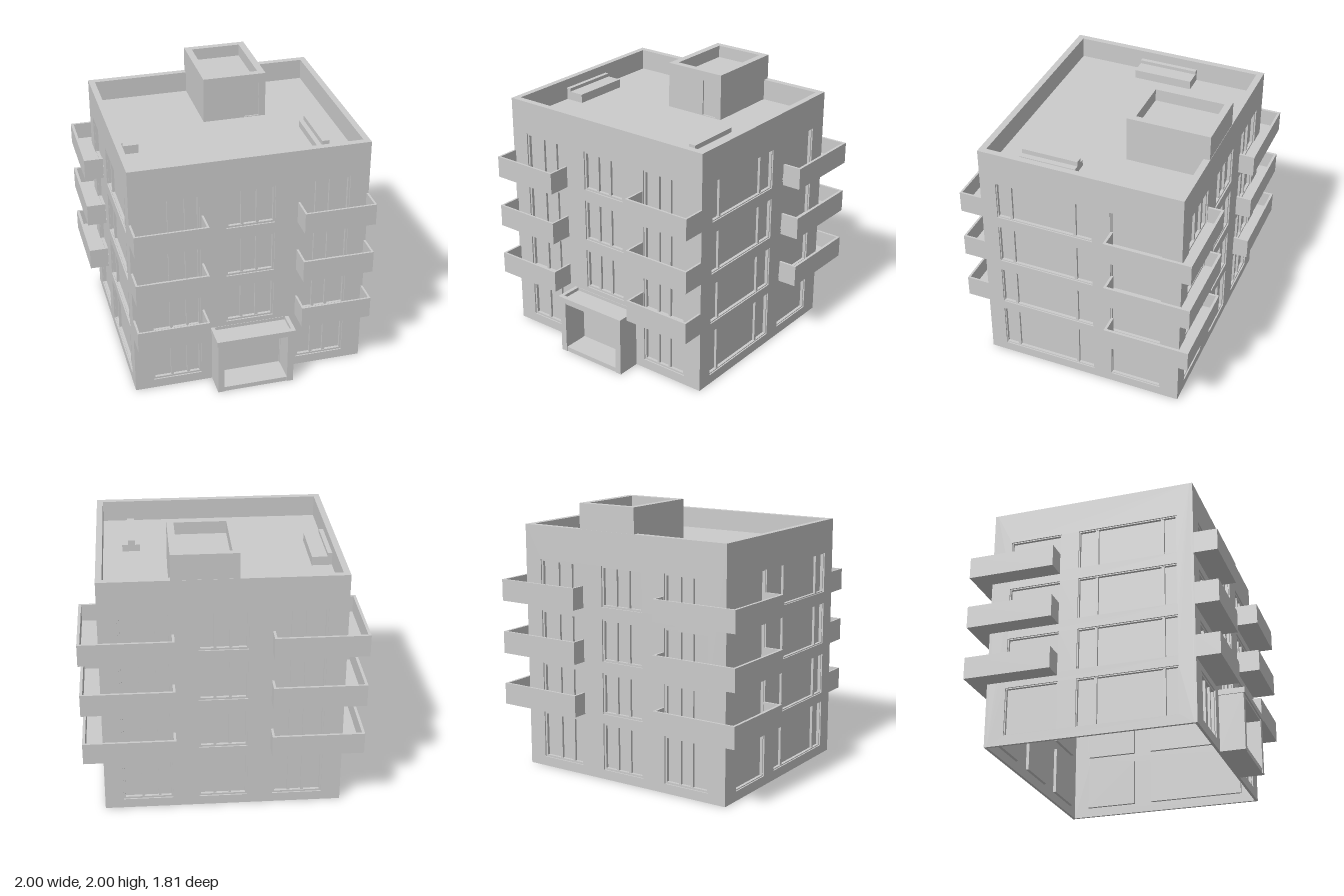
import * as THREE from 'three';

const mat = new THREE.MeshStandardMaterial({ color: 0xcccccc, side: THREE.DoubleSide });
const FRONT = 0.715, BACK = -0.79, SIDE = 0.86, TOP = 1.815, ROOF = 1.66, T = 0.02;

function mesh(parent, name, geometry) {
  const m = new THREE.Mesh(geometry, mat);
  m.name = name;
  parent.add(m);
  return m;
}

// Box given by its limits
function box(parent, name, x0, x1, y0, y1, z0, z1) {
  const m = mesh(parent, name, new THREE.BoxGeometry(x1 - x0, y1 - y0, z1 - z0));
  m.position.set((x0 + x1) / 2, (y0 + y1) / 2, (z0 + z1) / 2);
  return m;
}

const rect = (x0, x1, y0, y1) => [[x0, y0], [x1, y0], [x1, y1], [x0, y1]];
const points = (list, flip = 1) => list.map(([a, b]) => new THREE.Vector2(a, b * flip));

// Plan outline in (x, z) raised from y0 to y1, with an optional hole
function raise(parent, name, outline, y0, y1, hole) {
  const shape = new THREE.Shape(points(outline, -1));
  if (hole) shape.holes.push(new THREE.Path(points(hole, -1)));
  const g = new THREE.ExtrudeGeometry(shape, { depth: y1 - y0, bevelEnabled: false });
  g.rotateX(-Math.PI / 2);
  g.translate(0, y0, 0);
  return mesh(parent, name, g);
}

// Upright sheet with openings, its outer face at local z = 0
function sheet(parent, name, outline, holes, depth) {
  const shape = new THREE.Shape(points(outline));
  for (const h of holes) shape.holes.push(new THREE.Path(points(h)));
  const g = new THREE.ExtrudeGeometry(shape, { depth, bevelEnabled: false });
  g.translate(0, 0, -depth);
  return mesh(parent, name, g);
}

// Recessed window: stepped frame, glass and mullions
function addWindow(parent, [u0, u1, y0, y1], mullions, frame) {
  const w = new THREE.Group();
  w.name = 'window';
  const inner = rect(u0 + frame, u1 - frame, y0 + frame, y1 - frame);
  sheet(w, 'windowFrame', rect(u0, u1, y0, y1), [inner], 0.022).position.z = -0.01;
  box(w, 'glass', u0, u1, y0, y1, -0.042, -0.032);
  for (const m of mullions) {
    box(w, 'mullion', m - 0.01, m + 0.01, y0 + frame, y1 - frame, -0.034, -0.014);
  }
  parent.add(w);
}

const rows = [[0.07, 0.42], [0.49, 0.795], [0.88, 1.19], [1.275, 1.57]];

// One side of the building; columns hold [u0, u1, mullions]
function facade(parent, name, u0, u1, columns, frame, entrance) {
  const f = new THREE.Group();
  f.name = name;
  const holes = [];
  for (const [a, b, mullions] of columns) {
    rows.forEach(([y0, y1], i) => {
      if (entrance && i === 0 && a < 0 && b > 0) return;
      holes.push(rect(a, b, y0, y1));
      addWindow(f, [a, b, y0, y1], mullions, frame);
    });
  }
  if (entrance) {
    holes.push(rect(-0.24, 0.235, 0.035, 0.4));
    box(f, 'entranceDoor', -0.245, 0.24, 0.03, 0.405, -0.035, -0.02);
  }
  sheet(f, 'wall', rect(u0, u1, 0, TOP), holes, T);
  parent.add(f);
  return f;
}

function addWalls(model) {
  const broad = [
    [-0.725, -0.365, [-0.58, -0.46]],
    [-0.175, 0.175, [-0.06, 0.05]],
    [0.36, 0.72, [0.48, 0.58]],
  ];
  facade(model, 'frontFacade', -SIDE, SIDE, broad, 0.014, true).position.z = FRONT;
  const back = facade(model, 'backFacade', -SIDE, SIDE, broad, 0.014, false);
  back.rotation.y = Math.PI;
  back.position.z = BACK;
  // Side columns are laid out along z and mirrored for the two sides
  const sideColumns = [[-0.13, 0.595, [0.49, 0.005]], [-0.65, -0.265, []]];
  for (const s of [1, -1]) {
    const cols = sideColumns.map(([a, b, m]) =>
      s > 0 ? [-b, -a, m.map((v) => -v)] : [a, b, m]);
    const ends = s > 0 ? [-FRONT + T, -BACK - T] : [BACK + T, FRONT - T];
    const f = facade(model, s > 0 ? 'leftFacade' : 'rightFacade', ends[0], ends[1], cols, 0.007, false);
    f.rotation.y = s * Math.PI / 2;
    f.position.x = s * SIDE;
  }
}

function addBalconies(model) {
  for (const [y0, y1] of [[0.465, 0.625], [0.855, 1.02], [1.25, 1.41]]) {
    for (const s of [1, -1]) {
      const flip = (list) => list.map(([x, z]) => [s * x, z]);
      // Straight front balcony
      const b = new THREE.Group();
      b.name = 'frontBalcony';
      raise(b, 'balconyFloor', flip(rect(0.345, 0.855, FRONT, 0.88)), y0, y0 + 0.035);
      raise(b, 'balconyParapet', flip([
        [0.34, FRONT], [0.34, 0.885], [SIDE, 0.885], [SIDE, FRONT],
        [0.845, FRONT], [0.845, 0.87], [0.355, 0.87], [0.355, FRONT],
      ]), y0, y1);
      // Back balcony wrapping the corner
      const c = new THREE.Group();
      c.name = 'cornerBalcony';
      raise(c, 'balconyFloor', flip([
        [0.345, BACK], [0.345, -0.9], [0.995, -0.9], [0.995, -0.275], [SIDE, -0.275], [SIDE, BACK],
      ]), y0, y0 + 0.035);
      raise(c, 'balconyParapet', flip([
        [0.34, BACK], [0.34, -0.905], [1, -0.905], [1, -0.27], [SIDE, -0.27],
        [SIDE, -0.288], [0.98, -0.288], [0.98, -0.887], [0.357, -0.887], [0.357, BACK],
      ]), y0, y1);
      model.add(b, c);
    }
  }
}

function addPorch(model) {
  const p = new THREE.Group();
  p.name = 'porch';
  for (const s of [1, -1]) {
    box(p, 'porchSide', s > 0 ? 0.238 : -0.285, s > 0 ? 0.285 : -0.238, 0, 0.42, FRONT, 0.895);
  }
  box(p, 'porchFloor', -0.24, 0.24, 0, 0.035, FRONT, 0.89);
  box(p, 'porchCeiling', -0.28, 0.28, 0.4, 0.43, FRONT, 0.893);
  raise(p, 'porchRim', rect(-0.293, 0.293, FRONT, 0.905), 0.415, 0.455, rect(-0.265, 0.265, FRONT + 0.003, 0.872));
  model.add(p);
}

function addRoof(model) {
  const r = new THREE.Group();
  r.name = 'roof';
  box(r, 'roofFloor', -SIDE + 0.01, SIDE - 0.01, ROOF - 0.03, ROOF, BACK + 0.01, FRONT - 0.01);
  raise(r, 'parapet', rect(-SIDE + 0.002, SIDE - 0.002, BACK + 0.002, FRONT - 0.002), ROOF - 0.02, TOP,
    rect(-0.815, 0.815, -0.742, 0.667));

  // Stair house with sunken roof and a recessed door
  const h = new THREE.Group();
  h.name = 'stairHouse';
  raise(h, 'houseWalls', rect(-0.11, 0.36, -0.788, -0.192), ROOF, 2, rect(-0.06, 0.31, -0.74, -0.23));
  box(h, 'houseRoof', -0.08, 0.33, 1.89, 1.91, -0.76, -0.21);
  sheet(h, 'houseFront', rect(-0.11, 0.36, ROOF, 2), [rect(0.2, 0.31, ROOF + 0.005, 1.93)], 0.012).position.z = -0.18;
  r.add(h);

  // Rooftop units
  box(r, 'lowUnit', -0.815, -0.67, ROOF, ROOF + 0.065, -0.275, 0.17);
  box(r, 'lowUnitBack', -0.815, -0.783, ROOF, ROOF + 0.09, -0.275, 0.17);
  box(r, 'ridgeUnit', 0.545, 0.675, ROOF, ROOF + 0.05, 0.07, 0.49);
  box(r, 'ridgeUnitTop', 0.58, 0.633, ROOF + 0.05, ROOF + 0.085, 0.07, 0.49);
  model.add(r);
}

export function createModel() {
  const model = new THREE.Group();
  model.name = 'apartmentBuilding';
  addWalls(model);
  addBalconies(model);
  addPorch(model);
  addRoof(model);
  return model;
}
